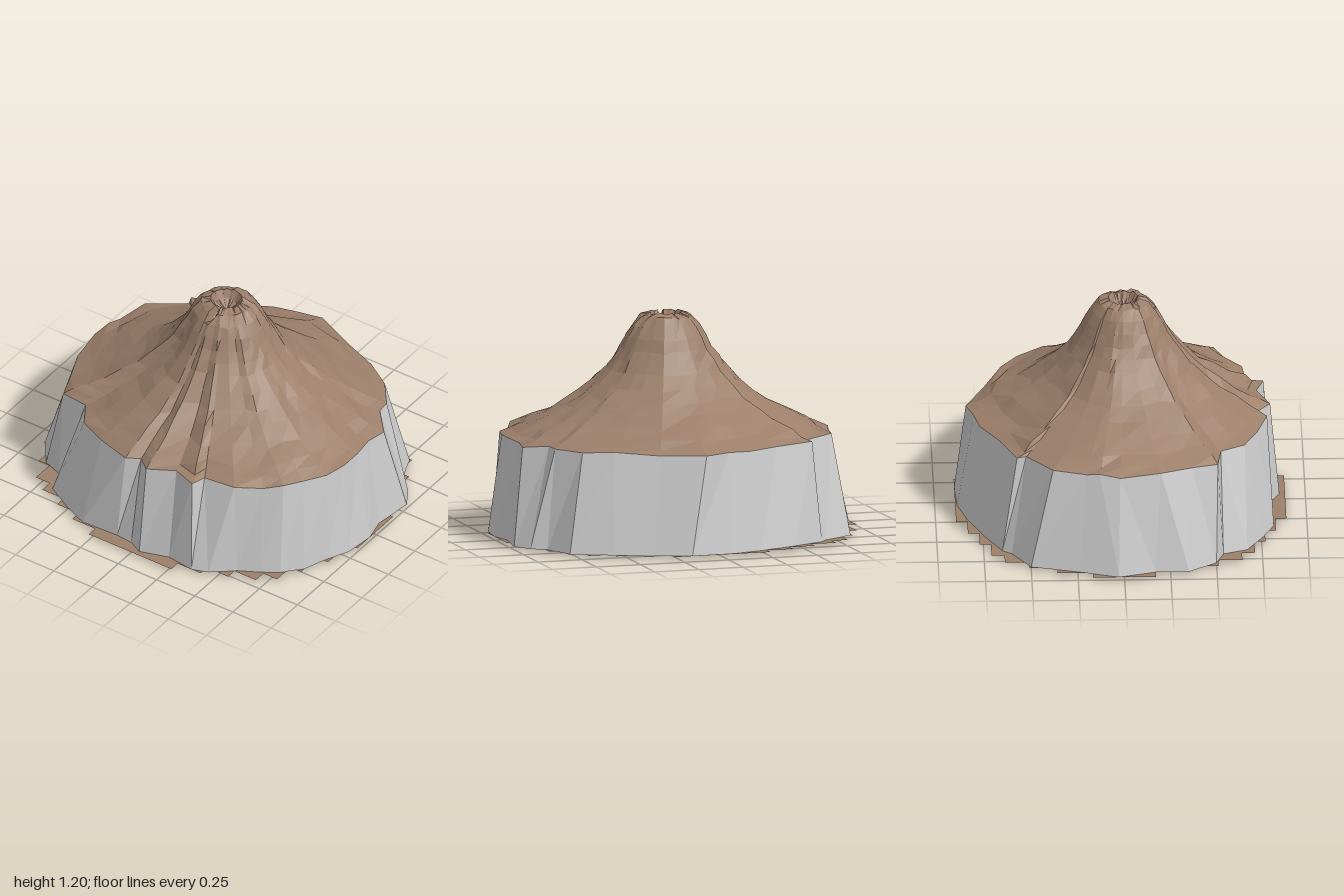
import * as THREE from 'three';

const brown = new THREE.MeshStandardMaterial({ color: 0x9c7f6a, flatShading: true });
const grey = new THREE.MeshStandardMaterial({ color: 0xcccccc, flatShading: true });

// Irregular outline, clockwise from the back: rim x, rim z, foot x, foot z
const outline = [
  [0.07, -0.83, 0.17, -0.89], [0.3, -0.73, 0.36, -0.82], [0.53, -0.63, 0.56, -0.74],
  [0.68, -0.54, 0.78, -0.63], [0.79, -0.4, 0.85, -0.45], [0.8, -0.32, 0.93, -0.4],
  [0.91, -0.2, 0.99, -0.3], [0.89, -0.08, 0.96, -0.08], [0.91, 0.05, 0.99, 0.05],
  [0.91, 0.17, 0.97, 0.22], [0.88, 0.3, 0.91, 0.34], [0.8, 0.41, 0.86, 0.48],
  [0.75, 0.52, 0.77, 0.58], [0.66, 0.58, 0.68, 0.64], [0.53, 0.67, 0.57, 0.7],
  [0.35, 0.69, 0.45, 0.8], [0.33, 0.78, 0.36, 0.83], [0.2, 0.74, 0.2, 0.81],
  [0.05, 0.81, 0.04, 0.86], [-0.03, 0.74, -0.04, 0.82], [-0.1, 0.79, -0.14, 0.81],
  [-0.3, 0.73, -0.36, 0.82], [-0.46, 0.66, -0.5, 0.76], [-0.54, 0.53, -0.66, 0.67],
  [-0.7, 0.51, -0.71, 0.54], [-0.75, 0.37, -0.82, 0.5], [-0.82, 0.2, -0.93, 0.35],
  [-0.86, -0.02, -0.93, 0.17], [-0.84, -0.13, -0.99, -0.03], [-0.82, -0.2, -0.92, -0.24],
  [-0.78, -0.38, -0.85, -0.5], [-0.59, -0.52, -0.68, -0.6], [-0.61, -0.57, -0.64, -0.65],
  [-0.38, -0.66, -0.46, -0.74], [-0.2, -0.76, -0.24, -0.83], [-0.07, -0.79, -0.06, -0.88],
];

// Rings from the rim up to the lip and down into the crater: spread, height
const rings = [
  [1, 0.545], [0.93, 0.568], [0.85, 0.602], [0.74, 0.65], [0.62, 0.71], [0.53, 0.765], [0.45, 0.825],
  [0.37, 0.9], [0.325, 0.955], [0.285, 1.01], [0.25, 1.07], [0.21, 1.13], [0.16, 1.18],
  [0.1, 1.195], [0.07, 1.15], [0, 1.11],
];

let seed = 7;
const jitter = (amount) => {
  seed = (seed * 16807) % 2147483647;
  return (seed / 2147483647 - 0.5) * 2 * amount;
};

// Skin closed loops of [x, y, z] points into one surface
function skin(loops) {
  const n = loops[0].length;
  const index = [];
  for (let j = 0; j < loops.length - 1; j++) {
    for (let i = 0; i < n; i++) {
      const a = j * n + i, b = j * n + (i + 1) % n;
      index.push(a, a + n, b, b, a + n, b + n);
    }
  }
  const geometry = new THREE.BufferGeometry();
  geometry.setAttribute('position', new THREE.Float32BufferAttribute(loops.flat(2), 3));
  geometry.setIndex(index);
  geometry.computeVertexNormals();
  return geometry;
}

// Stair-stepped oval for the foot, mirrored from one quadrant of corners
function steppedShape() {
  const corners = [[0.99, 0.17], [0.93, 0.36], [0.86, 0.51], [0.79, 0.64],
    [0.7, 0.71], [0.56, 0.77], [0.42, 0.83], [0.27, 0.89]];
  const quarter = [];
  corners.forEach(([x, z], i) => {
    quarter.push([x, z]);
    // inner corner of the step, kept shallow
    if (i < corners.length - 1) quarter.push([corners[i + 1][0], z]);
  });
  const back = [...quarter].reverse();
  const points = [
    ...quarter, ...back.map(([x, z]) => [-x, z]),
    ...quarter.map(([x, z]) => [-x, -z]), ...back.map(([x, z]) => [x, -z]),
  ];
  return new THREE.Shape(points.map(([x, z]) => new THREE.Vector2(x, z)));
}

export function createModel() {
  const group = new THREE.Group();
  const add = (name, geometry, material) => {
    const mesh = new THREE.Mesh(geometry, material);
    mesh.name = name;
    group.add(mesh);
    return mesh;
  };

  // Mountain slopes with gullies and a small crater
  const cx = 0.03, cz = 0.02;
  const gully = outline.map(() => jitter(0.05));
  const slopes = rings.map(([s, y], j) => outline.map(([rx, rz]) => {
    const dx = rx - cx, dz = rz - cz;
    const angle = Math.atan2(dz, dx), reach = Math.hypot(dx, dz);
    return { s, y, j, angle, reach };
  }).map((p, i) => {
    const base = THREE.MathUtils.lerp(0.84, p.reach, p.s);
    const rough = p.j === 0 || p.s === 0 ? 0 : gully[i] * Math.sin(Math.PI * p.s) + jitter(0.02);
    const r = p.s * base * (1 + rough);
    // notch in the front of the crater lip
    const notch = p.s > 0.08 && p.s < 0.17 && Math.abs(p.angle - Math.PI / 2) < 0.14 ? 0.05 : 0;
    const h = p.y - notch + (p.s === 0 ? 0 : jitter(p.j === 0 ? 0.012 : 0.008));
    return [cx + r * Math.cos(p.angle), h, cz + r * Math.sin(p.angle)];
  }));
  add('mountain', skin(slopes), brown);

  // Faceted cliff wall below the rim
  const foot = outline.map(([, , x, z]) => [x, 0.012, z]);
  add('cliffWall', skin([foot, slopes[0]]), grey);

  // Thin stepped foot: brown above, grey underneath
  const plate = new THREE.ShapeGeometry(steppedShape());
  const ground = add('footTop', plate, brown);
  ground.rotation.x = -Math.PI / 2;
  ground.position.y = 0.012;
  const underside = add('underside', plate, grey);
  underside.rotation.x = Math.PI / 2;

  return group;
}
